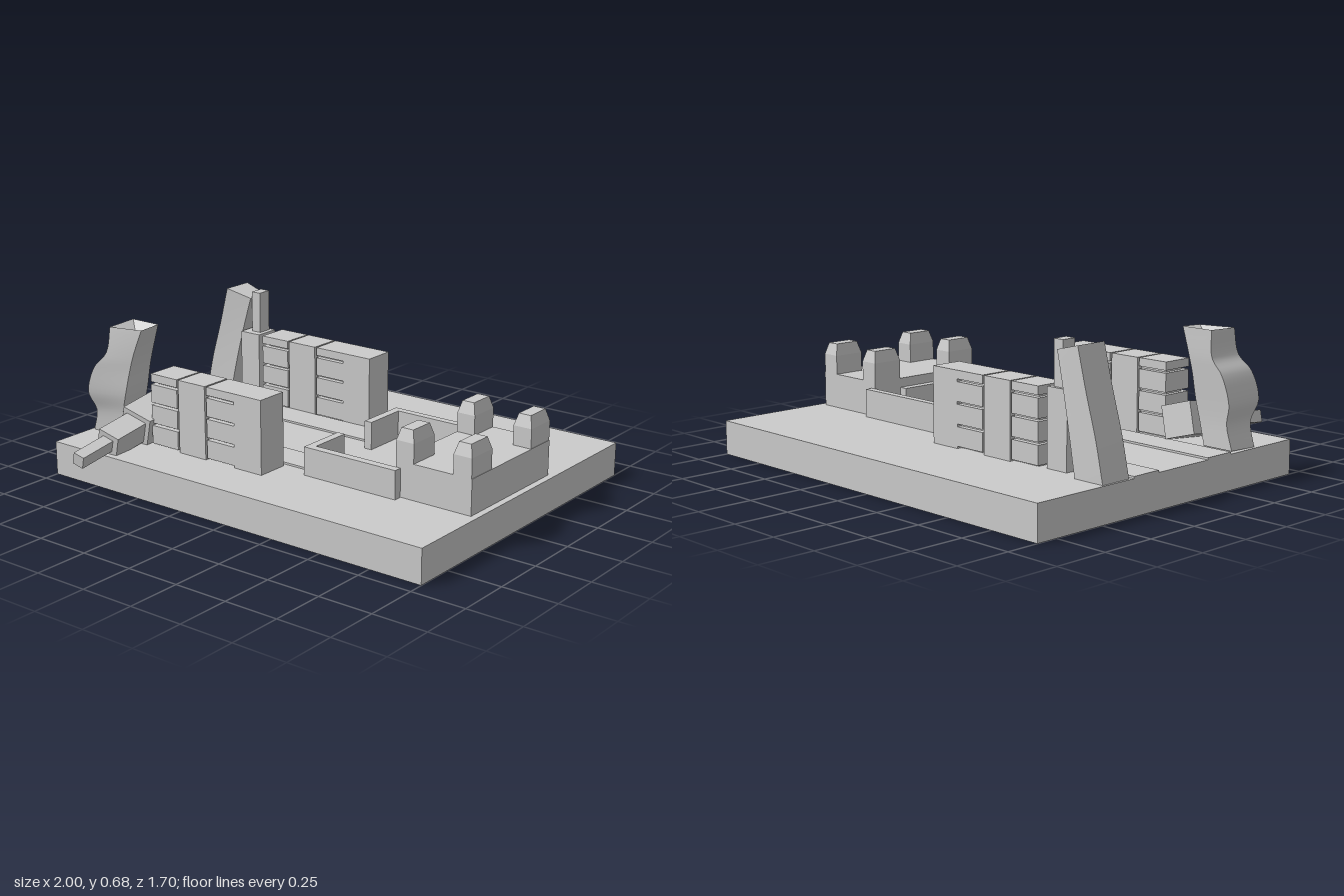
import * as THREE from 'three';
import { mergeGeometries } from 'three/addons/utils/BufferGeometryUtils.js';

const mat = new THREE.MeshStandardMaterial({ color: 0xcccccc });
const flat = new THREE.MeshStandardMaterial({ color: 0xcccccc, flatShading: true });
const GROUND = 0.155;

// Box given by its limits on each axis
function box(parent, name, x0, x1, y0, y1, z0, z1) {
  const m = new THREE.Mesh(new THREE.BoxGeometry(x1 - x0, y1 - y0, z1 - z0), mat);
  m.position.set((x0 + x1) / 2, (y0 + y1) / 2, (z0 + z1) / 2);
  m.name = name;
  parent.add(m);
  return m;
}

function group(parent, name) {
  const g = new THREE.Group();
  g.name = name;
  parent.add(g);
  return g;
}

// Four-sided tower: smooth strips between corner curves, fan cap with optional dip.
// Rings hold four [x, y, z] corners: front left, front right, back right, back left.
function twistedTower(rings, steps, dip) {
  const lines = [0, 1, 2, 3].map(c =>
    new THREE.CatmullRomCurve3(rings.map(r => new THREE.Vector3(...r[c]))).getPoints(steps));
  const parts = [];
  for (let c = 0; c < 4; c++) {
    const a = lines[c], b = lines[(c + 1) % 4], pos = [], idx = [];
    for (let i = 0; i <= steps; i++) {
      pos.push(...a[i].toArray(), ...b[i].toArray());
      if (i < steps) {
        const k = i * 2;
        idx.push(k, k + 1, k + 3, k, k + 3, k + 2);
      }
    }
    const g = new THREE.BufferGeometry();
    g.setAttribute('position', new THREE.Float32BufferAttribute(pos, 3));
    g.setIndex(idx);
    g.computeVertexNormals();
    parts.push(g.toNonIndexed());
  }
  const top = lines.map(l => l[steps]);
  const mid = top.reduce((s, p) => s.add(p), new THREE.Vector3()).divideScalar(4);
  mid.y -= dip;
  const cap = new THREE.BufferGeometry().setFromPoints(
    top.flatMap((p, i) => [p, top[(i + 1) % 4], mid]));
  cap.computeVertexNormals();
  parts.push(cap);
  return mergeGeometries(parts);
}

// Box whose upper part is chamfered on all four sides
function turret(parent, x0, x1, z0, z1) {
  const shaftTop = 0.4, top = 0.453, inset = 0.015;
  box(parent, 'turretShaft', x0, x1, 0.3, shaftTop, z0, z1);
  const g = new THREE.BoxGeometry(x1 - x0, top - shaftTop, z1 - z0);
  const p = g.attributes.position;
  for (let i = 0; i < p.count; i++) {
    if (p.getY(i) > 0) {
      p.setX(i, p.getX(i) - Math.sign(p.getX(i)) * inset);
      p.setZ(i, p.getZ(i) - Math.sign(p.getZ(i)) * inset);
    }
  }
  g.computeVertexNormals();
  const cap = new THREE.Mesh(g, flat);
  cap.position.set((x0 + x1) / 2, (shaftTop + top) / 2, (z0 + z1) / 2);
  cap.name = 'turretCap';
  parent.add(cap);
}

// Long block: slotted bay, plain bay, half-slotted bay, joined by a recessed core
function longBuilding(parent, name, z0, z1) {
  const g = group(parent, name);
  const top = 0.49, inset = 0.025;
  const floors = [[0.165, 0.249], [0.261, 0.345], [0.357, 0.441], [0.453, top]];
  box(g, 'core', -0.6, -0.1, GROUND, top - 0.02, z0 + inset, z1 - inset);
  for (const [y0, y1] of floors) {
    box(g, 'endFloor', -0.62, -0.467, y0, y1, z0, z1);
    box(g, 'innerFloor', -0.295, -0.14, y0, y1, z0, z1);
  }
  box(g, 'plainBay', -0.458, -0.305, GROUND, top, z0, z1);
  box(g, 'solidBay', -0.14, 0.01, GROUND, top, z0, z1);
}

export function createModel() {
  const model = new THREE.Group();
  model.name = 'courtyardDiorama';

  box(model, 'base', -1, 1, 0, GROUND, -0.85, 0.68);

  // Raised paths
  box(model, 'backPath', -1, 0.16, GROUND - 0.01, 0.164, -0.32, -0.172);
  box(model, 'frontPath', -1, 0.16, GROUND - 0.01, 0.164, 0.128, 0.278);

  // Long buildings
  longBuilding(model, 'backBuilding', -0.47, -0.322);
  longBuilding(model, 'frontBuilding', 0.298, 0.448);

  // Courtyard walls with inward returns
  const walls = group(model, 'courtyardWalls');
  box(walls, 'backWall', 0.15, 0.625, GROUND, 0.283, -0.34, -0.305);
  box(walls, 'backReturn', 0.15, 0.187, GROUND, 0.283, -0.34, -0.1);
  box(walls, 'frontWall', 0.15, 0.625, GROUND, 0.283, 0.295, 0.333);
  box(walls, 'frontReturn', 0.15, 0.187, GROUND, 0.283, 0.095, 0.333);

  // Gatehouse with four corner turrets
  const gate = group(model, 'gatehouse');
  box(gate, 'gateBody', 0.6, 0.97, GROUND, 0.313, -0.305, 0.293);
  box(gate, 'gateStep', 0.562, 0.6, GROUND, 0.27, -0.155, 0.14);
  for (const [x0, x1] of [[0.6, 0.688], [0.88, 0.968]]) {
    turret(gate, x0, x1, -0.305, -0.157);
    turret(gate, x0, x1, 0.145, 0.293);
  }

  // Standing stack behind the back path
  const stack = group(model, 'standingStack');
  box(stack, 'stackBase', -0.755, -0.645, GROUND, 0.49, -0.445, -0.325);
  box(stack, 'chimney', -0.717, -0.668, 0.48, 0.683, -0.43, -0.362);

  // Toppled stack, narrowing towards the front
  const toppled = group(model, 'toppledStack');
  toppled.position.set(-0.705, 0.242, 0.375);
  toppled.rotation.set(0.13, 0.04, -0.29);
  box(toppled, 'toppledBase', -0.077, 0.077, -0.072, 0.072, -0.1, 0.1);
  box(toppled, 'toppledMiddle', -0.055, 0.055, -0.05, 0.05, 0.09, 0.285);
  box(toppled, 'toppledTip', -0.028, 0.028, -0.028, 0.028, 0.28, 0.475);

  // Leaning tower at the back: slab with a tapered right edge
  const leanRing = ([yl, yr, x0, x1, nip]) => [
    [x0, yl, -0.338], [x1, yr, -0.338 - nip], [x1, yr, -0.488 + nip], [x0, yl, -0.488]];
  const leaning = new THREE.Mesh(twistedTower([
    [0.155, 0.155, -0.99, -0.84, 0.0], [0.33, 0.32, -0.95, -0.805, 0.005],
    [0.5, 0.49, -0.9, -0.765, 0.012], [0.683, 0.65, -0.852, -0.722, 0.02],
  ].map(leanRing), 12, 0), mat);
  leaning.name = 'leaningTower';
  model.add(leaning);

  // Buckled tower at the front: each ring is y, left, right, front left z, front right z, back z
  const buckleRing = ([y, x0, x1, zl, zr, zb]) => [
    [x0, y, zl], [x1, y, zr], [x1, y + 0.005, zb], [x0, y + 0.005, zb]];
  const buckled = new THREE.Mesh(twistedTower([
    [0.155, -0.985, -0.835, 0.45, 0.44, 0.3], [0.26, -0.955, -0.81, 0.46, 0.44, 0.3],
    [0.35, -0.968, -0.79, 0.495, 0.44, 0.295], [0.47, -0.935, -0.775, 0.485, 0.42, 0.285],
    [0.54, -0.885, -0.76, 0.455, 0.41, 0.28], [0.655, -0.88, -0.725, 0.43, 0.39, 0.28],
  ].map(buckleRing), 25, 0.05), mat);
  buckled.name = 'buckledTower';
  model.add(buckled);

  return model;
}
